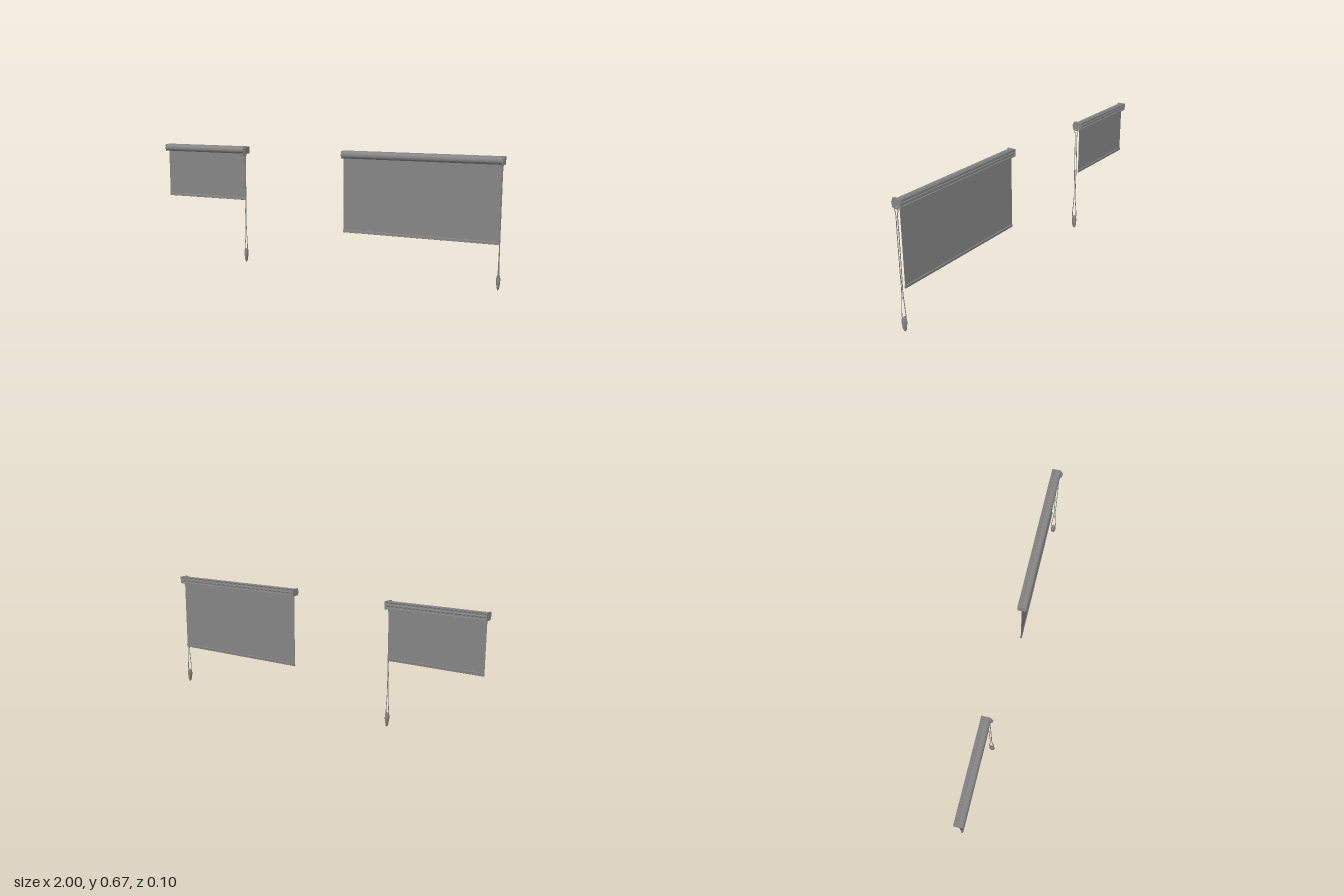
import * as THREE from 'three';

const darkGrey = new THREE.MeshStandardMaterial({ color: 0x868686, side: THREE.DoubleSide });

function add(group, name, geometry, x = 0, y = 0, z = 0) {
  const mesh = new THREE.Mesh(geometry, darkGrey);
  mesh.name = name;
  mesh.position.set(x, y, z);
  group.add(mesh);
  return mesh;
}

// Extrudes a (z, y) outline along +x
function extrudeX(points, length) {
  const shape = new THREE.Shape(points.map(([z, y]) => new THREE.Vector2(-z, y)));
  return new THREE.ExtrudeGeometry(shape, { depth: length, bevelEnabled: false })
    .rotateY(Math.PI / 2);
}

function rod(radius, length, sides = 20) {
  return new THREE.CylinderGeometry(radius, radius, length, sides).rotateZ(Math.PI / 2);
}

// Rounded front curve of the cassette, from the top to the lower lip
function frontCurve(inset) {
  const points = [];
  for (let i = 0; i <= 12; i++) {
    const a = Math.PI / 2 - (i / 12) * Math.PI * 0.95;
    points.push([0.032 + Math.cos(a) * (0.019 - inset), 0.0195 + Math.sin(a) * (0.0195 - inset)]);
  }
  return points;
}

// One roller blind; z = 0 is the back of its cassette
function makeBlind(name, left, right, clothBottom, weightBottom) {
  const blind = new THREE.Group();
  blind.name = name;
  const base = 0.632, cap = 0.005, length = right - left;

  // Hollow cassette, open underneath, with grooves along its back and top
  const profile = [
    [0, 0], [0, 0.007], [0.003, 0.009], [0.003, 0.016], [0, 0.018],
    [0, 0.024], [0.003, 0.026], [0.003, 0.033], [0, 0.035], [0, 0.04],
    [0.004, 0.04], [0.005, 0.037], [0.011, 0.037], [0.012, 0.04],
    [0.016, 0.04], [0.017, 0.037], [0.021, 0.037], [0.022, 0.039],
    ...frontCurve(0), ...frontCurve(0.002).reverse(),
    [0.022, 0.035], [0.005, 0.035], [0.005, 0.002], [0.012, 0.002], [0.012, 0],
  ];
  add(blind, 'cassette', extrudeX(profile, length - 2 * cap), left + cap, base, 0);

  // End caps
  const capOutline = [[0, 0], [0, 0.04], [0.044, 0.04], [0.049, 0.036], [0.051, 0.02], [0.049, 0.004], [0.045, 0]];
  for (const [label, x] of [['rightEndCap', left], ['leftEndCap', right - cap]])
    add(blind, label, extrudeX(capOutline, cap), x, base, 0);

  // Rolled fabric, hanging cloth and bottom bar
  const clothLeft = left + 0.006, clothRight = right - 0.014;
  const clothLength = clothRight - clothLeft, clothMid = (clothLeft + clothRight) / 2;
  add(blind, 'fabricRoll', rod(0.013, clothLength), clothMid, base + 0.02, 0.035);
  const clothTop = base + 0.02;
  add(blind, 'cloth', new THREE.BoxGeometry(clothLength, clothTop - clothBottom - 0.005, 0.001),
    clothMid, (clothTop + clothBottom + 0.005) / 2, 0.022);
  const bar = [[-0.004, 0.001], [-0.005, 0.015], [-0.002, 0.016], [0.002, 0.016], [0.003, 0.013], [0.004, 0.001], [0.002, 0], [-0.002, 0]];
  add(blind, 'bottomBar', extrudeX(bar, clothLength), clothLeft, clothBottom, 0.022);

  // Chain drive: faceted housing and a wheel showing below the cassette
  const chainX = right - 0.009, chainZ = 0.038;
  const housing = [[0.024, 0.002], [0.021, -0.014], [0.018, -0.027], [0.013, -0.024], [0.006, -0.018],
    [-0.012, -0.018], [-0.018, -0.006], [-0.018, 0.012], [-0.008, 0.022], [0.002, 0.025], [0.015, 0.022]];
  add(blind, 'chainHousing', extrudeX(housing, 0.002), chainX + 0.002, 0.649, chainZ);
  add(blind, 'chainHousing', extrudeX(housing, 0.002), chainX - 0.004, 0.649, chainZ);
  const wheel = new THREE.TorusGeometry(0.016, 0.003, 8, 28).rotateY(Math.PI / 2);
  wheel.scale(1, 1.25, 1);
  add(blind, 'chainWheel', wheel, chainX, 0.642, chainZ);

  // Continuous chain loop, pinched along its middle
  const w = weightBottom;
  const front = [[0.013, 0.635], [0.011, 0.618], [0.006, 0.595], [0.0055, 0.5], [0.005, 0.35], [0.004, 0.2],
    [0.008, 0.15], [0.0125, 0.1], [0.0125, 0.085], [0.009, w + 0.066]];
  const loop = [...front, ...front.map(([z, y]) => [-z, y]).reverse()]
    .map(([z, y]) => new THREE.Vector3(0, y, z));
  const path = new THREE.CatmullRomCurve3(loop, true, 'centripetal');
  add(blind, 'chainLoop', new THREE.TubeGeometry(path, 160, 0.002, 6, true), chainX, 0, chainZ);

  // Chain weight: flat oval body with a raised pad on each side
  const body = new THREE.SphereGeometry(1, 20, 14).scale(0.008, 0.039, 0.0145);
  add(blind, 'chainWeight', body, chainX, w + 0.039, chainZ);
  const pad = new THREE.SphereGeometry(1, 20, 14).scale(0.005, 0.029, 0.013);
  for (const side of [-1, 1])
    add(blind, 'weightPad', pad, chainX + side * 0.005, w + 0.051, chainZ);
  return blind;
}

export function createModel() {
  const model = new THREE.Group();
  model.name = 'rollerBlinds';
  const wide = makeBlind('wideBlind', 0.142, 0.998, 0.23, 0.001);
  wide.position.z = -0.01;
  const narrow = makeBlind('narrowBlind', -1, -0.459, 0.363, 0.003);
  narrow.position.z = -0.051;
  model.add(wide, narrow);
  return model;
}
